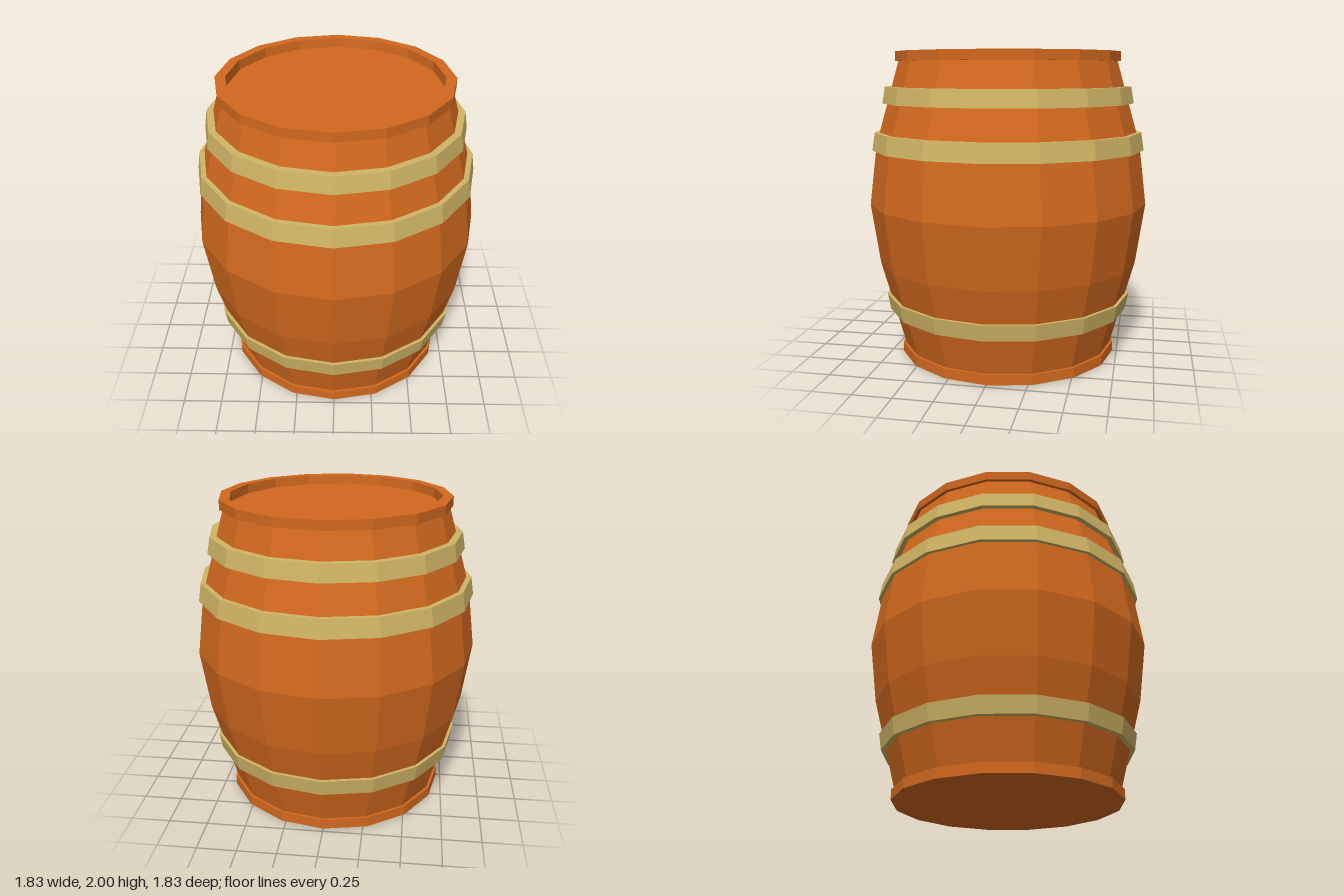
import * as THREE from 'three';

const SIDES = 16;
const wood = new THREE.MeshStandardMaterial({ color: 0xd2691e, flatShading: true });
const brass = new THREE.MeshStandardMaterial({ color: 0xd0b565, flatShading: true });

// Revolve a [radius, height] profile, listed bottom to top on the outside
function turned(name, profile, material) {
  const points = profile.map(([r, y]) => new THREE.Vector2(r, y));
  const mesh = new THREE.Mesh(new THREE.LatheGeometry(points, SIDES), material);
  mesh.name = name;
  return mesh;
}

// Closed tapered band with a rectangular section
function hoop(name, y0, y1, r0, r1, thickness) {
  return turned(name, [
    [r0, y0], [r1, y1], [r1 - thickness, y1], [r0 - thickness, y0], [r0, y0],
  ], brass);
}

export function createModel() {
  const barrel = new THREE.Group();
  barrel.name = 'barrel';

  // Bulging staves
  barrel.add(turned('staves', [
    [0.703, 0.06], [0.858, 0.63], [0.914, 1.02], [0.864, 1.41], [0.71, 1.945],
  ], wood));

  // Base with its closed underside
  barrel.add(turned('baseRim', [
    [0, 0], [0.722, 0], [0.722, 0.065], [0.69, 0.065],
  ], wood));

  // Top rim around the recessed lid
  barrel.add(turned('topRim', [
    [0.69, 1.94], [0.732, 1.94], [0.732, 2], [0.668, 2], [0.664, 1.94],
  ], wood));
  barrel.add(turned('lid', [[0.664, 1.94], [0, 1.94]], wood));

  // Metal hoops, following the slope of the staves
  barrel.add(hoop('lowerHoop', 0.308, 0.413, 0.802, 0.82, 0.045));
  barrel.add(hoop('middleHoop', 1.372, 1.487, 0.892, 0.874, 0.045));
  barrel.add(hoop('upperHoop', 1.672, 1.778, 0.82, 0.802, 0.045));

  return barrel;
}
